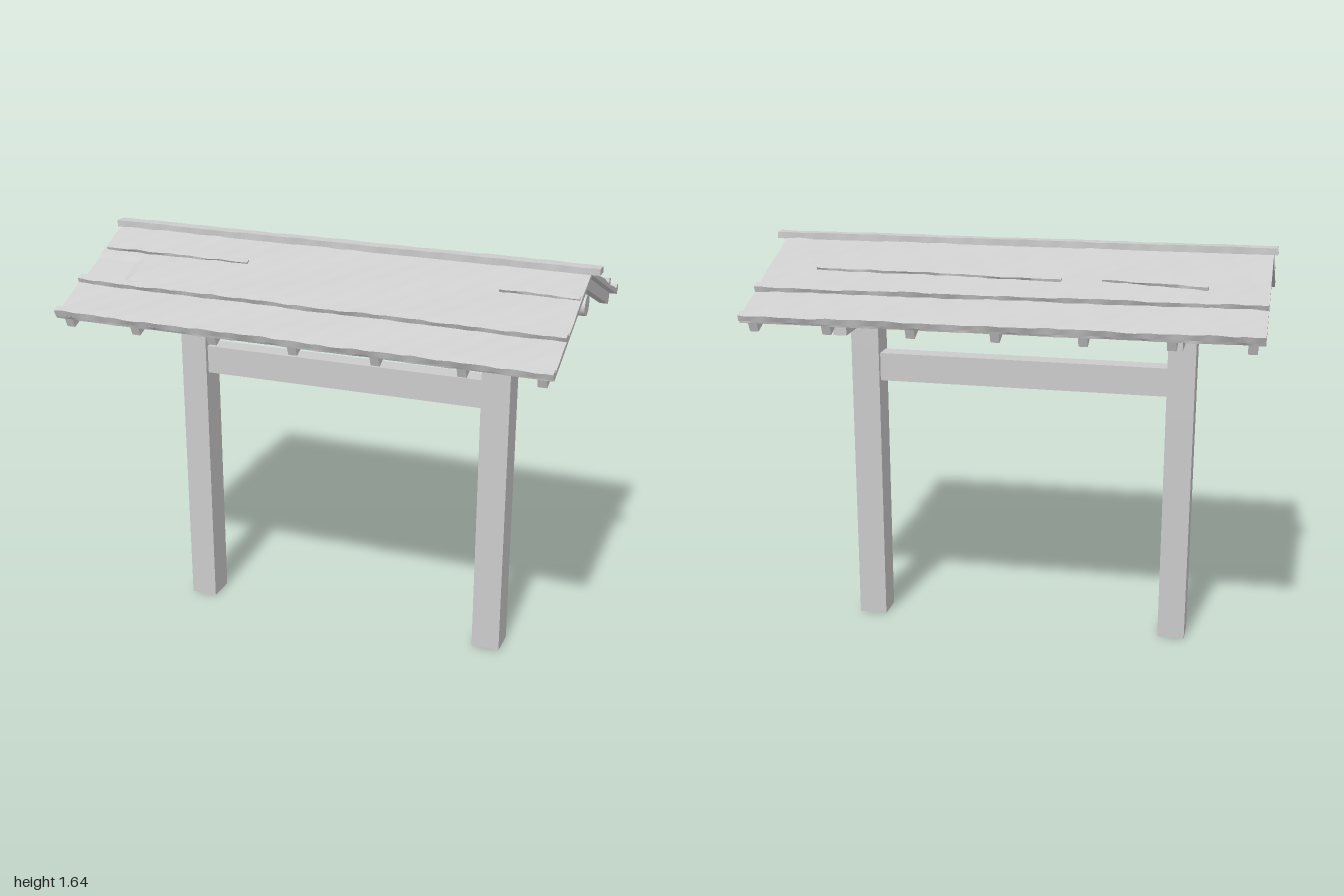
import * as THREE from 'three';
import { toCreasedNormals } from 'three/addons/utils/BufferGeometryUtils.js';

const material = new THREE.MeshStandardMaterial({ color: 0xcccccc });

function add(parent, name, geometry, x = 0, y = 0, z = 0) {
  const mesh = new THREE.Mesh(geometry, material);
  mesh.name = name;
  mesh.position.set(x, y, z);
  parent.add(mesh);
  return mesh;
}

// Repeatable waviness that depends only on position, about -1 to 1
function ripple(x, z) {
  return 0.45 * Math.sin(9 * x + 23 * z) + 0.3 * Math.sin(31 * x - 17 * z + 2)
    + 0.25 * Math.sin(53 * x + 61 * z + 1);
}

// Rough slab whose top and long edges are gently uneven
function roughSlab(length, height, width, nx, nz, bump, seed, dent) {
  const g = new THREE.BoxGeometry(length, height, width, nx, 1, nz);
  const p = g.attributes.position;
  for (let i = 0; i < p.count; i++) {
    const x = p.getX(i), y = p.getY(i), z = p.getZ(i);
    const edge = Math.abs(z) > width / 2 - 1e-4 ? 1 : 0;
    if (y > 0) p.setY(i, y + (dent && dent(x, z) ? -0.008 : bump * ripple(x + seed, z)));
    p.setZ(i, z + edge * bump * 0.8 * ripple(x * 1.7 + seed, y * 9));
  }
  return toCreasedNormals(g, 0.6);
}

// Square post leaning from its foot offset to its head offset
function leaningPost(width, height, depth, footX, headX, footZ, headZ) {
  const g = new THREE.BoxGeometry(width, height, depth, 1, 6, 1);
  g.translate(0, height / 2, 0);
  const p = g.attributes.position;
  for (let i = 0; i < p.count; i++) {
    const t = p.getY(i) / height;
    p.setX(i, p.getX(i) + THREE.MathUtils.lerp(footX, headX, t));
    p.setZ(i, p.getZ(i) + THREE.MathUtils.lerp(footZ, headZ, t));
  }
  return toCreasedNormals(g, 0.5);
}

// Cross arm: beam with its upper face cut lower outside the log seats
function crossArm() {
  const s = new THREE.Shape();
  [[-0.37, 1.305], [0.37, 1.313], [0.37, 1.383], [0.29, 1.38], [0.2, 1.395], [0.13, 1.38],
    [-0.13, 1.38], [-0.2, 1.395], [-0.29, 1.375], [-0.37, 1.375]]
    .forEach(([z, y], i) => (i ? s.lineTo(z, y) : s.moveTo(z, y)));
  const g = new THREE.ExtrudeGeometry(s, { depth: 0.052, bevelEnabled: false });
  g.translate(0, 0, -0.026);
  g.rotateY(-Math.PI / 2); // shape x runs along +z
  return g;
}

export function createModel() {
  const model = new THREE.Group();
  model.name = 'roofedGate';

  // Frame
  const frame = new THREE.Group();
  frame.name = 'frame';
  model.add(frame);
  add(frame, 'rightPost', leaningPost(0.11, 1.43, 0.117, -0.645, -0.655, 0.02, 0));
  add(frame, 'leftPost', leaningPost(0.115, 1.43, 0.117, 0.643, 0.635, 0.02, 0));
  add(frame, 'lintel', new THREE.BoxGeometry(1.2, 0.115, 0.08), -0.01, 1.097, 0.005)
    .rotation.z = 0.005;
  add(frame, 'ridgeBeam', new THREE.BoxGeometry(1.84, 0.122, 0.116), -0.03, 1.482, 0);
  for (const x of [-0.655, 0.633]) add(frame, 'crossArm', crossArm(), x);

  // Round logs resting on the cross arms
  for (const z of [0.252, -0.248]) {
    const log = toCreasedNormals(new THREE.CylinderGeometry(0.042, 0.042, 1.86, 20), 0.6);
    add(frame, 'roofLog', log, -0.025, 1.41, z).rotation.z = Math.PI / 2;
  }

  // Roof slopes
  const angle = 0.39;
  const rafterX = [-0.94, -0.655, -0.335, -0.01, 0.31, 0.633, 0.92];
  for (const side of [1, -1]) {
    const slope = new THREE.Group();
    slope.name = side > 0 ? 'frontSlope' : 'backSlope';
    slope.position.y = 1.555;
    slope.rotation.x = side * angle;
    model.add(slope);

    for (const x of rafterX) {
      add(slope, 'rafter', new THREE.BoxGeometry(0.034, 0.047, 0.58), x, 0.0235, side * 0.272);
    }

    // Bark sheet, with a bare patch near one end of the front
    const bare = side > 0 ? (x, z) => x < -0.79 && z > -0.08 && z < 0.06 : null;
    add(slope, 'barkSheet', roughSlab(1.95, 0.018, 0.6, 120, 40, 0.0035, side * 3, bare),
      -0.01, 0.054, side * 0.272);

    // Long battens: eave and middle
    for (const d of [0.562, 0.365]) {
      add(slope, 'batten', roughSlab(1.95, 0.024, 0.03, 90, 3, 0.004, d * 10 + side, null),
        -0.01, 0.07, side * d).rotation.y = -side * 0.006 * (d < 0.5 ? 1 : 0.5);
    }

    // Short broken strips: [centre x, length, distance down the slope, turn]
    const strips = side > 0
      ? [[-0.66, 0.62, 0.142, 0], [0.81, 0.3, 0.145, -0.02]]
      : [[-0.56, 0.4, 0.235, -0.07], [0.28, 0.97, 0.22, -0.02]];
    for (const [x, length, d, turn] of strips) {
      add(slope, 'strip', roughSlab(length, 0.014, 0.018, 40, 2, 0.004, d * 7, null),
        x, 0.066, side * d).rotation.y = turn;
    }
  }

  // Ridge cap
  add(model, 'ridgeCap', roughSlab(2, 0.026, 0.05, 90, 4, 0.002, 1, null), 0, 1.626, 0)
    .rotation.y = -0.005;

  return model;
}
